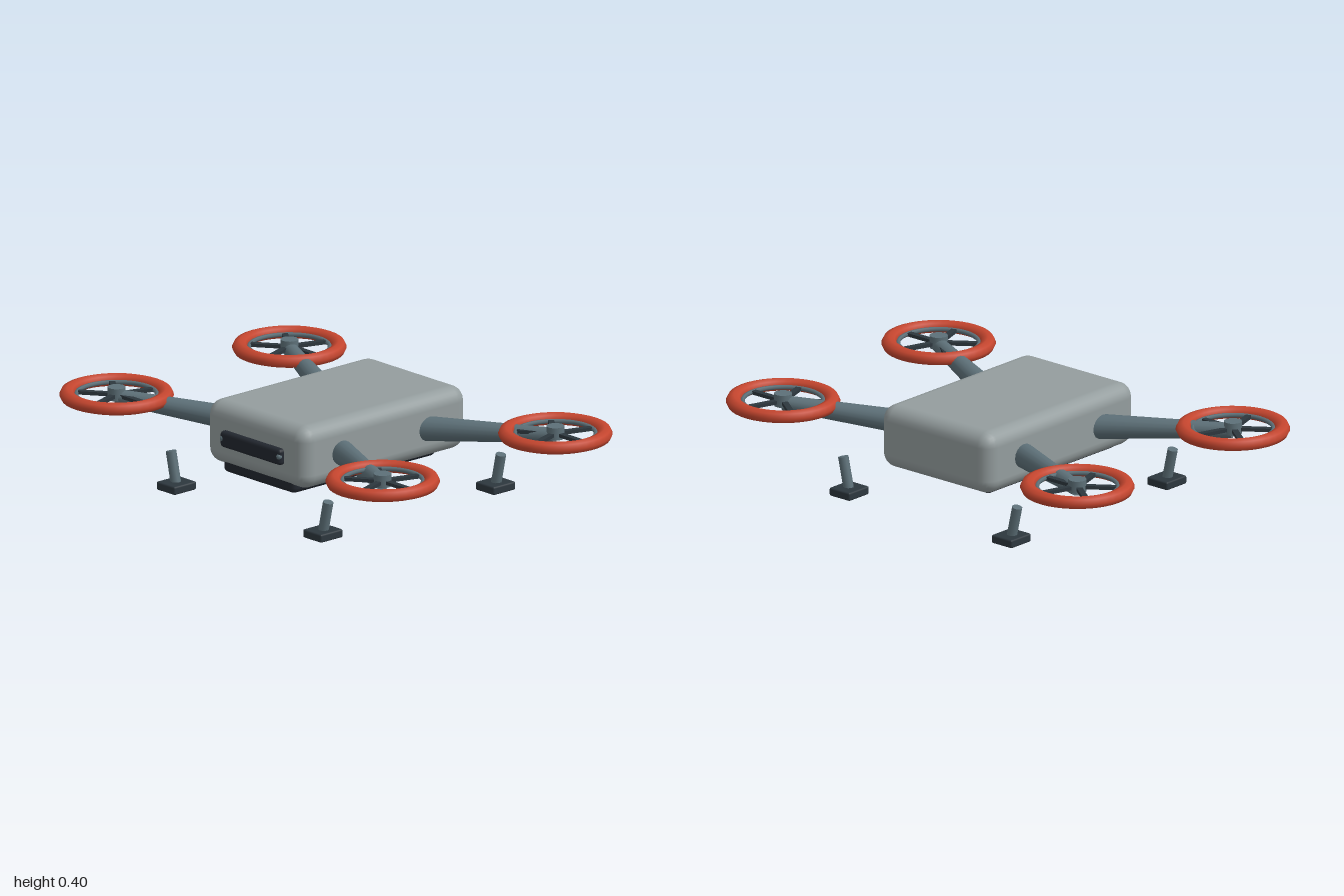
import * as THREE from 'three';
import { RoundedBoxGeometry } from 'three/addons/geometries/RoundedBoxGeometry.js';

const material = (name, color, extra = {}) => {
  const m = new THREE.MeshStandardMaterial({ color, ...extra });
  m.name = name;
  return m;
};

export function createModel() {
  const shellGrey = material('shell grey', 0x949d9e);
  const steel = material('steel blue grey', 0x5d7078);
  const dark = material('dark slate', 0x2d373e);
  const black = material('near black', 0x22272f);
  const red = material('guard red', 0xc4452e);

  const model = new THREE.Group();
  model.name = 'quadcopter';

  const add = (parent, name, geometry, mat, x = 0, y = 0, z = 0) => {
    const mesh = new THREE.Mesh(geometry, mat);
    mesh.name = name;
    mesh.position.set(x, y, z);
    parent.add(mesh);
    return mesh;
  };

  // Tapered round bar between two points
  const bar = (parent, name, from, to, rFrom, rTo, sides, mat) => {
    const dir = to.clone().sub(from);
    const mid = from.clone().add(to).multiplyScalar(0.5);
    const geometry = new THREE.CylinderGeometry(rTo, rFrom, dir.length(), sides);
    const mesh = add(parent, name, geometry, mat, mid.x, mid.y, mid.z);
    mesh.quaternion.setFromUnitVectors(new THREE.Vector3(0, 1, 0), dir.normalize());
    return mesh;
  };

  // Body and belly battery
  add(model, 'body', new RoundedBoxGeometry(0.58, 0.257, 0.88, 3, 0.06), shellGrey, 0, 0.273, -0.003);
  add(model, 'bellyPack', new RoundedBoxGeometry(0.415, 0.09, 0.765, 2, 0.022), black, 0, 0.16, 0.034);

  // Front sensor bar with a small lens at each end
  add(model, 'sensorBar', new RoundedBoxGeometry(0.35, 0.066, 0.05, 2, 0.014), black, 0, 0.267, 0.436);
  for (const sx of [-1, 1]) {
    add(model, 'sensorLens', new THREE.SphereGeometry(0.013, 10, 8), steel, sx * 0.163, 0.27, 0.452);
  }

  // Rotor pieces shared by all four corners
  const guard = new THREE.TorusGeometry(0.194, 0.031, 8, 40).rotateX(Math.PI / 2).scale(1, 0.85, 1);
  const rim = new THREE.TorusGeometry(0.159, 0.009, 6, 40).rotateX(Math.PI / 2);
  const spoke = new THREE.BoxGeometry(0.158, 0.014, 0.024).translate(0.079, 0, 0);
  const hub = new THREE.CylinderGeometry(0.036, 0.036, 0.05, 14);
  const foot = new RoundedBoxGeometry(0.107, 0.034, 0.118, 2, 0.007);

  for (const sx of [-1, 1]) {
    for (const sz of [-1, 1]) {
      // Arm
      bar(model, 'arm', new THREE.Vector3(sx * 0.2, 0.262, sz * 0.19),
        new THREE.Vector3(sx * 0.768, 0.303, sz * 0.459), 0.053, 0.03, 16, steel);

      // Ringed rotor
      const rotor = new THREE.Group();
      rotor.name = 'rotor';
      rotor.position.set(sx * 0.77, 0.312, sz * 0.46);
      model.add(rotor);
      add(rotor, 'guardRing', guard, red);
      add(rotor, 'innerRim', rim, steel);
      add(rotor, 'hub', hub, steel, 0, 0.006, 0);
      for (let i = 0; i < 5; i++) {
        add(rotor, 'spoke', spoke, dark).rotation.y = (i * Math.PI * 2) / 5;
      }

      // Leg and foot
      bar(model, 'leg', new THREE.Vector3(sx * 0.425, 0.02, sz * 0.46),
        new THREE.Vector3(sx * 0.455, 0.153, sz * 0.46), 0.021, 0.021, 10, steel);
      add(model, 'foot', foot, dark, sx * 0.424, 0.017, sz * 0.46);
    }
  }
  return model;
}
